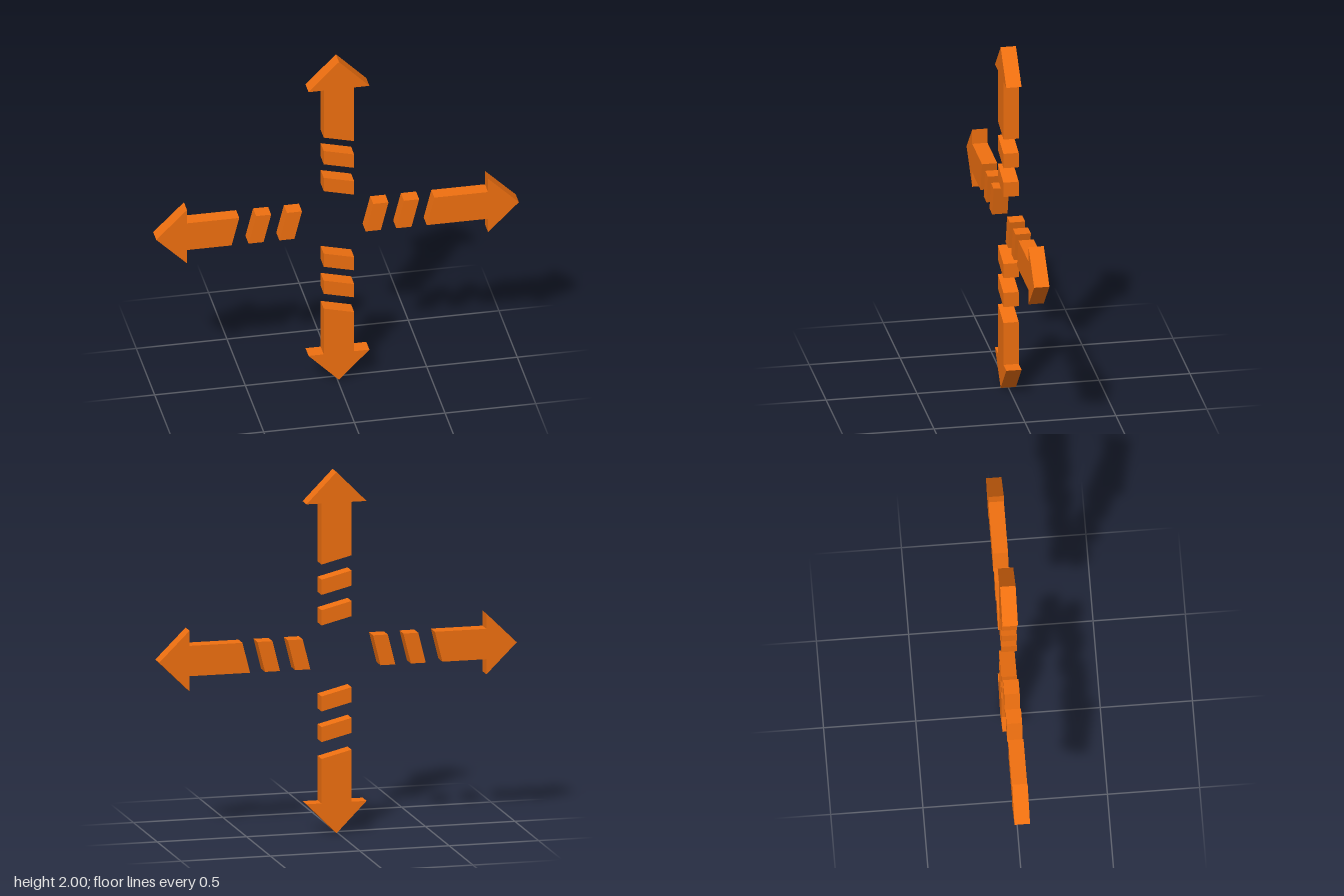
import * as THREE from 'three';

const HALF = 0.084;   // half width of the shaft
const DEPTH = 0.084;  // thickness of every piece
const SLANT = 0.25;   // slope of the slanted cuts

const orange = new THREE.MeshStandardMaterial({ color: 0xf07010, flatShading: true });

// Flat outline extruded and centred on z = 0
function plate(name, points) {
  const shape = new THREE.Shape(points.map(([x, y]) => new THREE.Vector2(x, y)));
  const geometry = new THREE.ExtrudeGeometry(shape, { depth: DEPTH, bevelEnabled: false });
  geometry.translate(0, 0, -DEPTH / 2);
  const mesh = new THREE.Mesh(geometry, orange);
  mesh.name = name;
  return mesh;
}

// Height of a slanted cut at sideways position x
const cut = (x, y) => y - SLANT * x;

// Arrow pointing along dir * y, with two dashes trailing towards the middle
function arm(name, dir, base, dashes) {
  const group = new THREE.Group();
  group.name = name;
  const neck = dir * 0.83;
  group.add(plate('arrow', [
    [-HALF, cut(-HALF, base)], [HALF, cut(HALF, base)],
    [HALF, neck], [2 * HALF, neck], [0, dir], [-2 * HALF, neck], [-HALF, neck],
  ]));
  dashes.forEach(([low, high], i) => group.add(plate(`dash${i + 1}`, [
    [-HALF, cut(-HALF, low)], [HALF, cut(HALF, low)],
    [HALF, cut(HALF, high)], [-HALF, cut(-HALF, high)],
  ])));
  return group;
}

// Two opposite arms whose cuts all lean the same way
function axis(name, positive, negative) {
  const group = new THREE.Group();
  group.name = name;
  group.add(
    arm(positive, 1, 0.513, [[0.345, 0.429], [0.176, 0.26]]),
    arm(negative, -1, -0.563, [[-0.47, -0.387], [-0.3, -0.217]]),
  );
  return group;
}

export function createModel() {
  const model = new THREE.Group();
  model.name = 'fourWayArrows';

  const vertical = axis('verticalAxis', 'upArm', 'downArm');
  vertical.position.set(0.008, 1, 0);

  const horizontal = axis('horizontalAxis', 'leftArm', 'rightArm');
  horizontal.rotation.z = -Math.PI / 2;
  horizontal.position.set(0, 1, 0);

  model.add(vertical, horizontal);
  return model;
}
